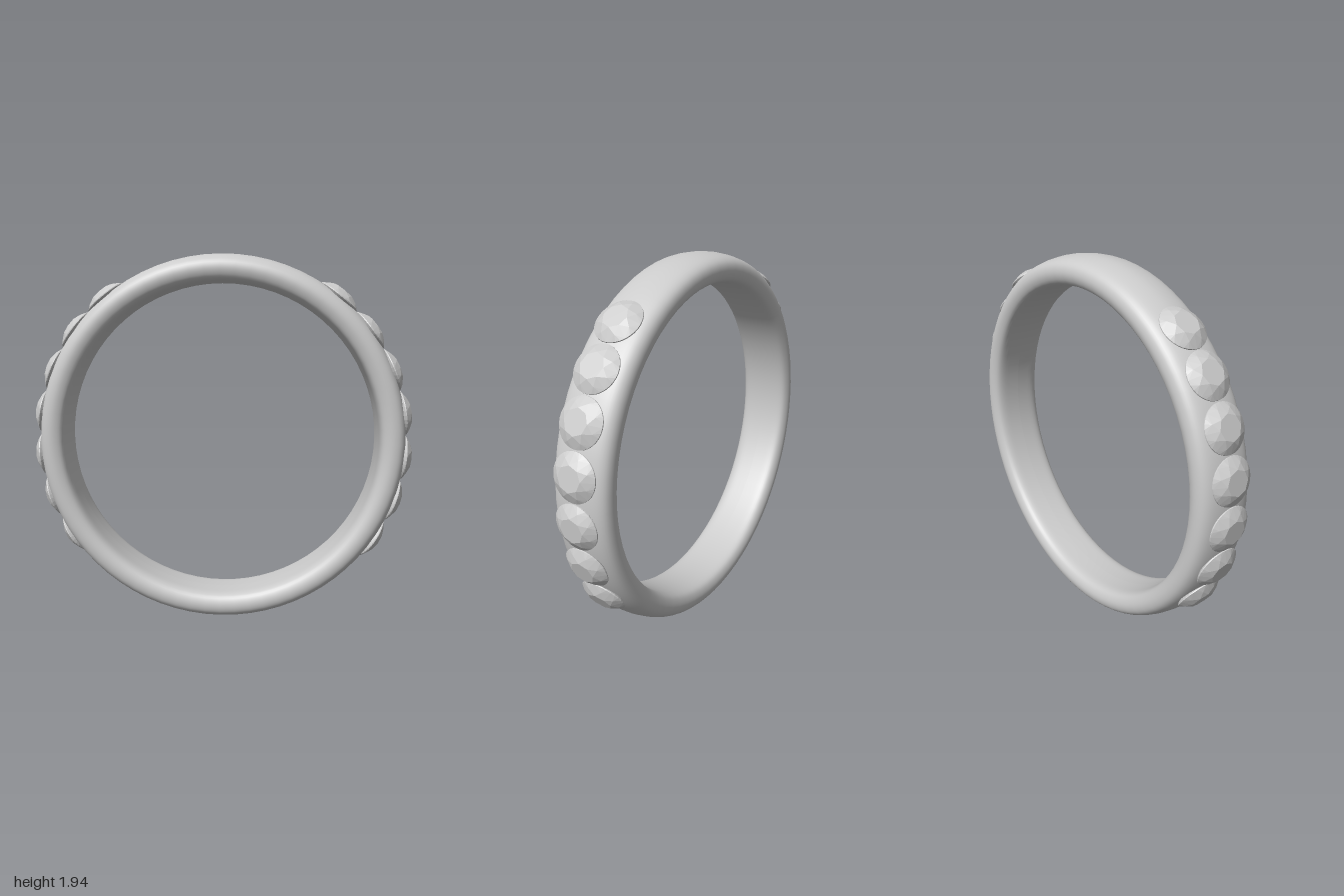
import * as THREE from 'three';
import { ConvexGeometry } from 'three/addons/geometries/ConvexGeometry.js';

const RADIUS = 0.972; // outer radius of the band, also the height of its centre

// Rounded band: closed cross-section (radius, half width) turned about its axis
function bandGeometry() {
  const half = [[0.826, 0.05], [0.829, 0.1], [0.842, 0.131], [0.87, 0.147], [0.9, 0.15],
    [0.93, 0.139], [0.952, 0.11], [0.966, 0.06]];
  const loop = [
    [0.825, 0],
    ...half.map(([r, w]) => [r, -w]),
    [RADIUS, 0],
    ...half.slice().reverse(),
    [0.825, 0],
  ];
  const profile = new THREE.SplineCurve(loop.map(([r, w]) => new THREE.Vector2(r, w)));
  return new THREE.LatheGeometry(profile.getPoints(54), 72).rotateX(Math.PI / 2);
}

// Round brilliant cut along +y; heights are distances from the band's centre
function gemGeometry() {
  const points = [];
  const ring = (count, radius, height, turn) => {
    for (let i = 0; i < count; i++) {
      const a = ((i + turn) / count) * Math.PI * 2;
      points.push(new THREE.Vector3(Math.cos(a) * radius, height, Math.sin(a) * radius));
    }
  };
  ring(8, 0.062, 1.004, 0);    // table
  ring(8, 0.092, 0.988, 0.5);  // crown
  ring(32, 0.116, 0.969, 0);   // girdle
  ring(32, 0.116, 0.964, 0);
  ring(8, 0.02, 0.88, 0);      // pavilion, sunk in the band
  return new ConvexGeometry(points);
}

export function createModel() {
  const model = new THREE.Group();
  model.name = 'ring';

  const smooth = new THREE.MeshStandardMaterial({ color: 0xcccccc });
  const faceted = new THREE.MeshStandardMaterial({ color: 0xcccccc, flatShading: true });

  const band = new THREE.Mesh(bandGeometry(), smooth);
  band.name = 'band';
  band.position.y = RADIUS;
  model.add(band);

  // Seven stones along each side
  const gem = gemGeometry();
  for (const side of [1, -1]) {
    const row = new THREE.Group();
    row.name = side > 0 ? 'leftGemRow' : 'rightGemRow';
    row.position.y = RADIUS;
    for (let i = 0; i < 7; i++) {
      const stone = new THREE.Mesh(gem, faceted);
      stone.name = `gem${i + 1}`;
      const fromTop = THREE.MathUtils.degToRad(39 + 14 * i);
      stone.rotation.z = -side * fromTop;
      row.add(stone);
    }
    model.add(row);
  }
  return model;
}
